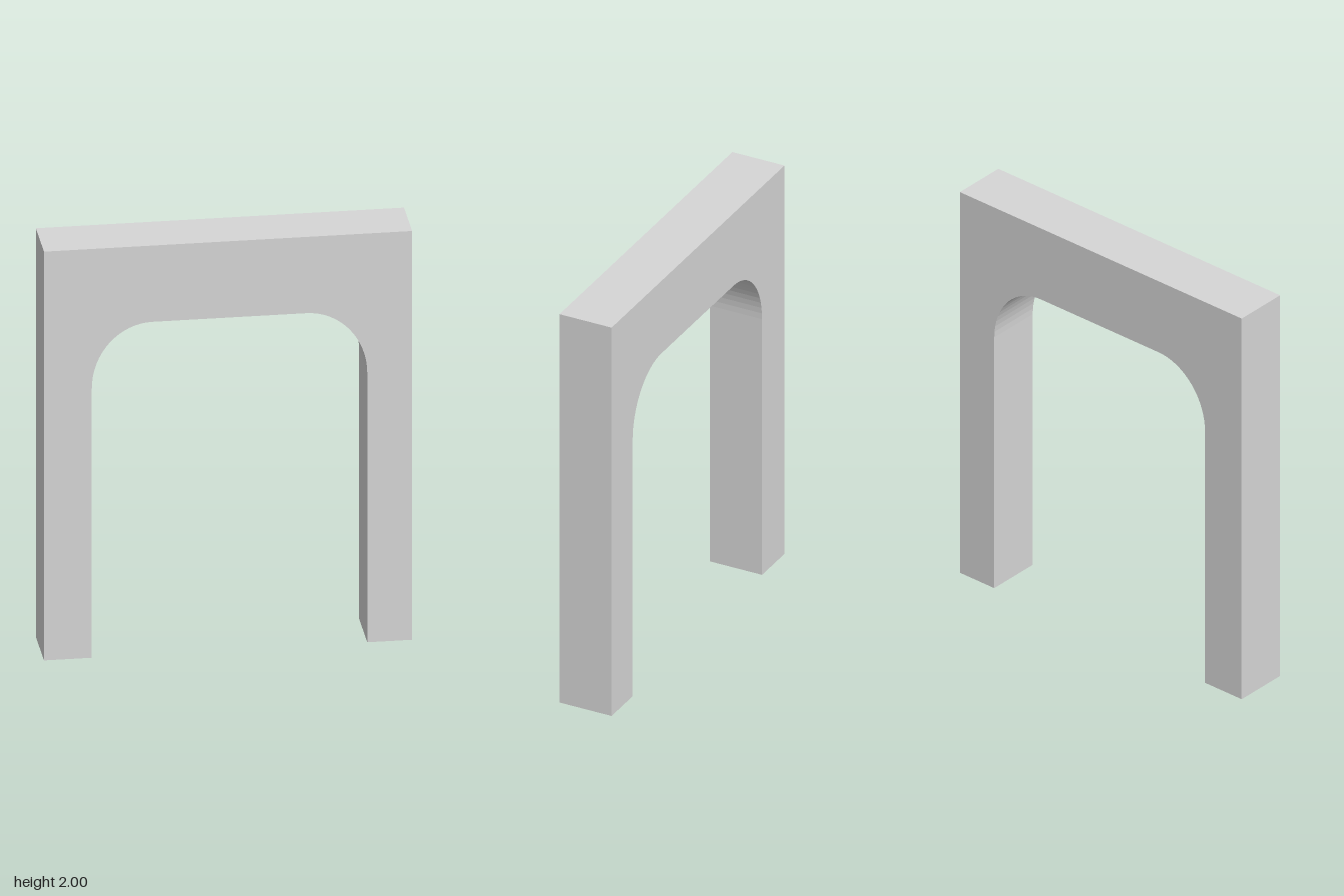
import * as THREE from 'three';

export function createModel() {
  const group = new THREE.Group();
  group.name = 'archway';
  const stone = new THREE.MeshStandardMaterial({ color: 0xd6d6d6, flatShading: true });
  stone.name = 'light grey stone';

  const halfWidth = 0.833, height = 2, depth = 0.264;
  // opening, very slightly off centre, with elliptical upper corners
  const left = 0.63, right = -0.617, lintel = 1.627, rx = 0.275, ry = 0.31;

  const shape = new THREE.Shape();
  shape.moveTo(-halfWidth, 0);
  shape.lineTo(right, 0);
  shape.lineTo(right, lintel - ry);
  shape.absellipse(right + rx, lintel - ry, rx, ry, Math.PI, Math.PI / 2, true);
  shape.lineTo(left - rx, lintel);
  shape.absellipse(left - rx, lintel - ry, rx, ry, Math.PI / 2, 0, true);
  shape.lineTo(left, 0);
  shape.lineTo(halfWidth, 0);
  shape.lineTo(halfWidth, height);
  shape.lineTo(-halfWidth, height);
  shape.closePath();

  // posts and lintel in one solid slab
  const geometry = new THREE.ExtrudeGeometry(shape, { depth, bevelEnabled: false, curveSegments: 8 });
  geometry.translate(0, 0, -depth / 2);
  const frame = new THREE.Mesh(geometry, stone);
  frame.name = 'archFrame';
  group.add(frame);
  return group;
}
